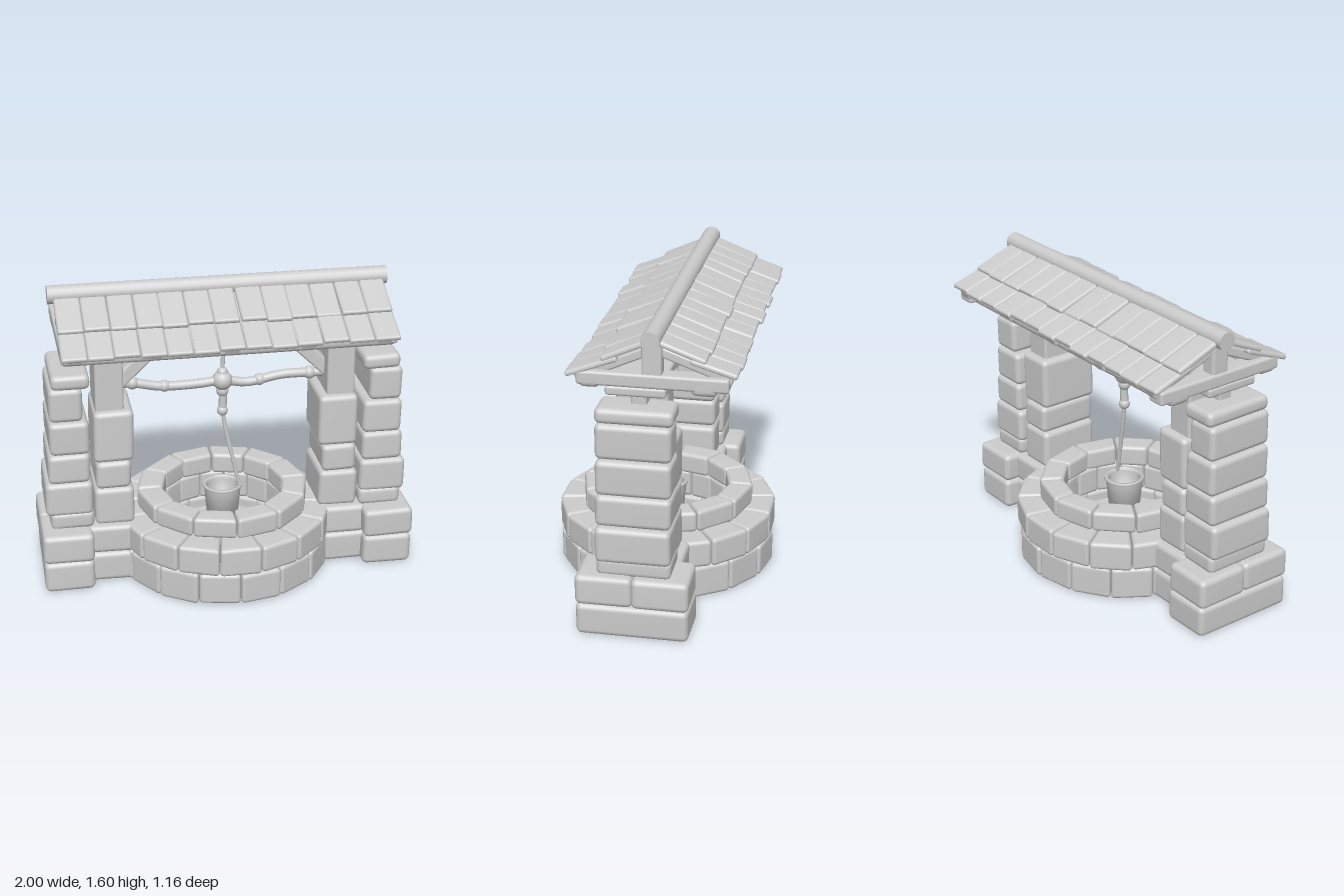
import * as THREE from 'three';
import { RoundedBoxGeometry } from 'three/addons/geometries/RoundedBoxGeometry.js';
import { mergeVertices } from 'three/addons/utils/BufferGeometryUtils.js';

let seed = 7;
const rnd = () => { seed = (seed * 16807) % 2147483647; return seed / 2147483647 - 0.5; };

export function createModel() {
  seed = 7;
  const model = new THREE.Group();
  const clay = new THREE.MeshStandardMaterial({ color: 0xcccccc });
  clay.name = 'pale grey';

  function add(name, geometry, parent = model) {
    const mesh = new THREE.Mesh(geometry, clay);
    mesh.name = name;
    parent.add(mesh);
    return mesh;
  }
  function group(name) {
    const g = new THREE.Group();
    g.name = name;
    model.add(g);
    return g;
  }
  // Soft-edged block, optionally reshaped by a rule, with smooth normals
  function softBox(w, h, d, r, rule) {
    let g = new RoundedBoxGeometry(w, h, d, 3, Math.min(r, w / 2.2, h / 2.2, d / 2.2));
    g.deleteAttribute('normal');
    g.deleteAttribute('uv');
    g = mergeVertices(g, 1e-5);
    const p = g.attributes.position, v = new THREE.Vector3();
    if (rule) for (let i = 0; i < p.count; i++) {
      rule(v.fromBufferAttribute(p, i));
      p.setXYZ(i, v.x, v.y, v.z);
    }
    g.computeVertexNormals();
    return g;
  }
  // Uneven stone given by its extents
  function stone(parent, x0, x1, y0, y1, z0, z1, r = 0.03) {
    const a = rnd() * 0.05, b = rnd() * 0.05, c = rnd() * 0.05;
    const m = add('stone', softBox(x1 - x0, y1 - y0, z1 - z0, r, v => {
      const { x, y, z } = v;
      v.x += a * y + c * z * 0.5;
      v.y += b * x * 0.6;
      v.z += c * y + a * x * 0.5;
    }), parent);
    m.position.set((x0 + x1) / 2, (y0 + y1) / 2, (z0 + z1) / 2);
  }
  function beam(name, x0, x1, y0, y1, z0, z1, r = 0.015, parent = model) {
    const m = add(name, softBox(x1 - x0, y1 - y0, z1 - z0, r), parent);
    m.position.set((x0 + x1) / 2, (y0 + y1) / 2, (z0 + z1) / 2);
  }

  // Well wall: three rings of wedge stones
  function ring(name, count, offset, y0, y1, inner, outer) {
    const g = group(name);
    const depth = outer - inner, mid = (outer + inner) / 2;
    const width = 2 * outer * Math.tan(Math.PI / count) * 0.985;
    for (let i = 0; i < count; i++) {
      const h = y1 - y0 + rnd() * 0.012;
      const m = add('wellStone', softBox(width, h, depth + rnd() * 0.02, 0.022, v => {
        v.x *= (mid + v.z) / outer;
      }), g);
      const a = (i + offset) / count * Math.PI * 2;
      m.position.set(Math.sin(a) * mid, (y0 + y1) / 2, Math.cos(a) * mid);
      m.rotation.y = a;
    }
  }
  ring('lowerRing', 16, 0.5, 0.003, 0.178, 0.33, 0.57);
  ring('middleRing', 16, 0, 0.175, 0.33, 0.33, 0.578);
  ring('upperRing', 12, 0.5, 0.325, 0.44, 0.32, 0.45);
  const floor = add('wellFloor', new THREE.CylinderGeometry(0.36, 0.36, 0.02, 40));
  floor.position.y = 0.11;

  // Stone piers on both sides: [inner x, outer x, bottom, top]
  const outerCourses = [
    [0.72, 0.95, 0.32, 0.42], [0.72, 0.97, 0.4, 0.588], [0.73, 0.95, 0.588, 0.752],
    [0.73, 0.94, 0.75, 0.935], [0.76, 0.935, 0.94, 1.125]];
  const innerCourses = [
    [0.5, 0.71, 0.32, 0.53], [0.515, 0.7, 0.53, 0.685], [0.495, 0.705, 0.685, 0.97]];
  for (const s of [1, -1]) {
    const pier = group(s > 0 ? 'leftPier' : 'rightPier');
    const block = (x0, x1, ...rest) =>
      stone(pier, Math.min(s * x0, s * x1), Math.max(s * x0, s * x1), ...rest);
    block(0.73, 0.995, 0.002, 0.172, -0.285, 0.285);
    block(0.73, 1.0, 0.17, 0.33, -0.285, 0.005);
    block(0.73, 1.0, 0.17, 0.33, 0, 0.29);
    block(0.49, 0.76, 0.003, 0.172, -0.21, 0.21);
    block(0.49, 0.76, 0.17, 0.33, -0.21, 0.21);
    for (const [a, b, y0, y1] of outerCourses) block(a, b, y0, y1, -0.19, 0.19);
    block(0.72, 0.92, 1.12, 1.2, -0.195, 0.195);
    for (const [a, b, y0, y1] of innerCourses) block(a, b, y0, y1, -0.17, 0.17);

    // Timber post, brace and the small strut above the pier
    const mx = (name, x0, x1, ...rest) =>
      beam(name, Math.min(s * x0, s * x1), Math.max(s * x0, s * x1), ...rest, 0.015, pier);
    mx('post', 0.54, 0.69, 0.6, 1.3, -0.13, 0.13);
    mx('strut', 0.74, 0.82, 1.18, 1.27, -0.05, 0.03);
    mx('strutHead', 0.73, 0.86, 1.25, 1.3, -0.15, 0.15);
    const brace = add('brace', softBox(0.075, 0.36, 0.1, 0.012), pier);
    brace.position.set(s * 0.44, 1.195, 0);
    brace.rotation.z = s * 0.8;

    // Gable frame
    mx('tieBeam', 0.77, 0.87, 1.3, 1.372, -0.455, 0.29);
    mx('kingPost', 0.78, 0.86, 1.36, 1.54, -0.13, -0.03);
  }

  // Long roof timbers
  beam('frontEaveBeam', -0.87, 0.87, 1.285, 1.365, 0.17, 0.28, 0.03);
  beam('backEaveBeam', -0.87, 0.87, 1.275, 1.36, -0.4, -0.27, 0.03);
  beam('centreBeam', -0.85, 0.85, 1.28, 1.34, -0.14, 0.14);

  // Roof slopes, each point given as [z, y]
  function slab(name, parent, x, w, a, b, thick, lift = 0) {
    const dz = b[0] - a[0], dy = b[1] - a[1];
    const m = add(name, softBox(w, thick, Math.hypot(dz, dy), 0.012, name === 'tile' ? v => {
      v.y += 0.01 * Math.cos(v.x / w * Math.PI * 1.6); // gently arched tile
    } : null), parent);
    m.position.set(x, (a[1] + b[1]) / 2 + lift, (a[0] + b[0]) / 2);
    m.rotation.x = Math.atan2(-dy, dz);
    if (dz < 0) m.rotation.x = -Math.atan2(-dy, -dz);
  }
  function slope(name, rows, deck) {
    const g = group(name);
    slab('deck', g, 0, 1.66, ...deck, 0.02);
    for (const x of [-0.8, -0.4, 0, 0.4, 0.8])
      slab('rafter', g, x, 0.07, deck[0], deck[1], 0.05, -0.025);
    const n = 13, pitch = 1.74 / n;
    rows.forEach(([a, b], row) => {
      for (let i = 0; i < n; i++) {
        const end = [b[0] + rnd() * 0.02, b[1] + rnd() * 0.012];
        const x = (i - (n - 1) / 2) * pitch + (row ? 0 : rnd() * 0.01);
        slab('tile', g, x, pitch * 1.01, a, end, 0.028, rnd() * 0.008);
      }
    });
  }
  slope('frontRoof',
    [[[-0.08, 1.55], [0.175, 1.438]], [[0.09, 1.447], [0.335, 1.348]]],
    [[-0.08, 1.515], [0.3, 1.345]]);
  slope('backRoof',
    [[[-0.08, 1.555], [-0.35, 1.452]], [[-0.27, 1.462], [-0.5, 1.39]]],
    [[-0.08, 1.52], [-0.47, 1.375]]);
  const ridge = add('ridgePole', new THREE.CylinderGeometry(0.048, 0.048, 1.79, 16));
  ridge.rotation.z = Math.PI / 2;
  ridge.position.set(-0.005, 1.548, -0.08);

  // Crooked windlass pole with a knotted hub
  const tube = (name, pts, r, parent) => add(name, new THREE.TubeGeometry(
    new THREE.CatmullRomCurve3(pts.map(p => new THREE.Vector3(...p))), 32, r, 10), parent);
  const windlass = group('windlass');
  tube('pole', [[-0.56, 1.06, 0], [-0.48, 1.06, 0], [-0.33, 1.03, 0], [-0.12, 1.03, 0], [0, 1.04, 0],
    [0.13, 1.02, 0], [0.32, 1.05, 0], [0.48, 1.05, 0], [0.56, 1.05, 0]], 0.025, windlass);
  const knots = [[-0.48, 1.06, 0.035], [-0.31, 1.03, 0.032], [0, 1.04, 0.055], [0.2, 1.03, 0.032],
    [0.47, 1.05, 0.035], [0, 1.085, 0.03], [0, 0.98, 0.033], [0, 0.865, 0.03]];
  for (const [x, y, r] of knots) {
    const k = add('knot', new THREE.SphereGeometry(r, 14, 10), windlass);
    k.position.set(x, y, 0);
  }
  tube('hangingStem', [[0, 1.02, 0], [0.003, 0.94, 0], [0, 0.86, 0]], 0.022, windlass);
  tube('upperRope', [[0, 1.3, 0], [0.003, 1.2, 0], [0, 1.06, 0]], 0.011, windlass);
  tube('lowerRope', [[0, 0.87, 0], [0.02, 0.74, 0.005], [0.055, 0.58, 0.015], [0.09, 0.42, 0.02]], 0.011, windlass);

  // Bucket
  const profile = [[0, 0.25], [0.085, 0.25], [0.1, 0.41], [0.108, 0.42], [0.106, 0.432],
    [0.092, 0.432], [0.086, 0.415], [0.075, 0.28], [0, 0.28]];
  add('bucket', new THREE.LatheGeometry(profile.map(p => new THREE.Vector2(...p)), 24));

  return model;
}
